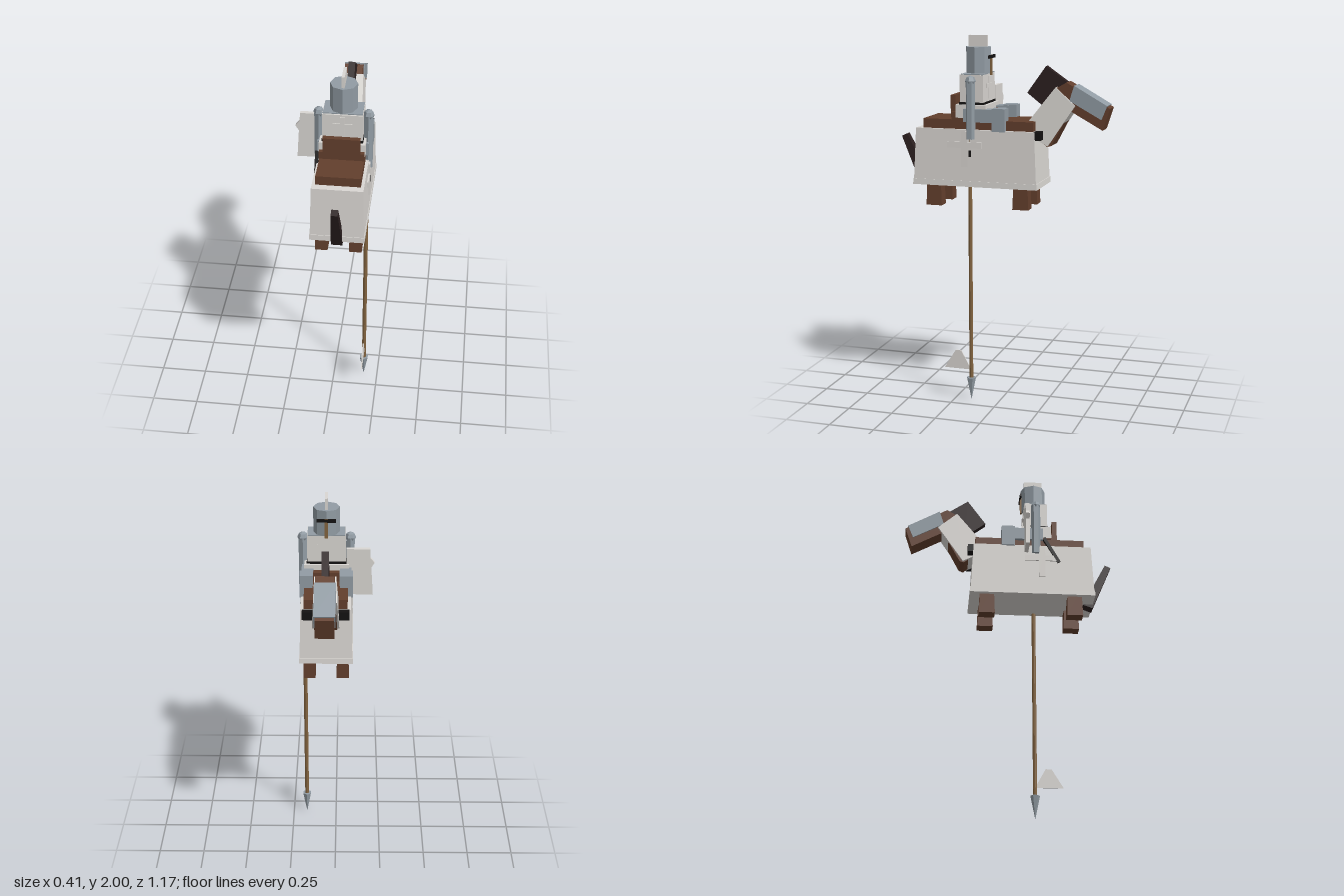
import * as THREE from 'three';

const CX = 0.05; // rider and horse centre line

export function createModel() {
  const root = new THREE.Group();
  root.name = 'mountedKnight';
  const mat = (name, color) => {
    const m = new THREE.MeshStandardMaterial({ color, flatShading: true });
    m.name = name;
    return m;
  };
  const cloth = mat('cloth', 0xdad7d3);
  const steel = mat('steel', 0x929ca4);
  const hide = mat('hide', 0x633f2d);
  const dark = mat('darkHair', 0x2c2020);
  const black = mat('black', 0x141212);
  const wood = mat('wood', 0x82633f);

  const add = (name, geo, m) => {
    const mesh = new THREE.Mesh(geo, m);
    mesh.name = name;
    root.add(mesh);
    return mesh;
  };
  // Box given by its limits on each axis
  const box = (name, m, x0, x1, y0, y1, z0, z1) => {
    const g = new THREE.BoxGeometry(x1 - x0, y1 - y0, z1 - z0);
    g.translate((x0 + x1) / 2, (y0 + y1) / 2, (z0 + z1) / 2);
    return add(name, g, m);
  };
  // Side outline of [z, y] points, extruded across x around the centre line;
  // half width runs from wLow at the lowest point to wHigh at the highest
  const side = (name, m, pts, wLow, wHigh = wLow, cx = CX) => {
    const shape = new THREE.Shape(pts.map(([z, y]) => new THREE.Vector2(-z, y)));
    const g = new THREE.ExtrudeGeometry(shape, { depth: 2, bevelEnabled: false });
    g.translate(0, 0, -1);
    g.rotateY(Math.PI / 2);
    const ys = pts.map((p) => p[1]);
    const lo = Math.min(...ys), hi = Math.max(...ys);
    const p = g.attributes.position;
    for (let i = 0; i < p.count; i++) {
      const t = (p.getY(i) - lo) / (hi - lo);
      p.setX(i, cx + p.getX(i) * (wLow + (wHigh - wLow) * t));
    }
    g.computeVertexNormals();
    return add(name, g, m);
  };

  // Horse body, cloth cover and hem
  box('horseBody', hide, -0.063, 0.165, 1.3, 1.56, -0.19, 0.42);
  side('clothCover', cloth, [[0.458, 1.51], [0.472, 1.205], [-0.215, 1.205], [-0.2, 1.51]], 0.139, 0.131);
  side('clothHem', cloth, [[0.474, 1.235], [0.475, 1.204], [-0.219, 1.204], [-0.217, 1.235]], 0.142, 0.141);

  // Legs, slightly flared at the hoof
  for (const x of [-0.038, 0.139])
    for (const z of [0.363, -0.123])
      side('horseLeg', hide, [[z + 0.038, 1.25], [z + 0.044, 1.09], [z - 0.044, 1.09], [z - 0.038, 1.25]], 0.033, 0.029, x);

  // Tail
  side('tail', dark, [[0.585, 1.445], [0.553, 1.46], [0.42, 1.2], [0.473, 1.18]], 0.03, 0.017);

  // Neck, cover, head, face plate and mane
  side('neck', hide, [[-0.30, 1.74], [-0.13, 1.53], [-0.25, 1.425], [-0.275, 1.432], [-0.39, 1.65]], 0.06, 0.048);
  side('neckCover', cloth, [[-0.294, 1.741], [-0.12, 1.52], [-0.14, 1.49], [-0.257, 1.43], [-0.40, 1.646]], 0.071, 0.055);
  side('head', hide, [[-0.30, 1.737], [-0.35, 1.767], [-0.584, 1.637], [-0.547, 1.522], [-0.36, 1.625]], 0.048);
  side('facePlate', steel, [[-0.393, 1.752], [-0.57, 1.652], [-0.54, 1.578], [-0.368, 1.672]], 0.054);
  side('mane', dark, [[-0.232, 1.847], [-0.13, 1.704], [-0.245, 1.615], [-0.368, 1.752]], 0.018);
  box('breastStrap', black, -0.073, 0.173, 1.465, 1.51, -0.232, -0.195);

  // Saddle
  box('saddleSeat', hide, -0.065, 0.165, 1.56, 1.6, 0.06, 0.262);
  box('saddleBack', hide, -0.045, 0.145, 1.57, 1.688, 0.245, 0.272);
  box('saddlePommel', hide, -0.023, 0.122, 1.56, 1.61, 0.037, 0.07);

  // Tunic, belt and collar plate
  box('tunicSkirt', cloth, -0.068, 0.168, 1.57, 1.64, 0.07, 0.238);
  box('belt', black, -0.055, 0.155, 1.638, 1.652, 0.086, 0.222);
  box('tunic', cloth, -0.052, 0.152, 1.65, 1.797, 0.088, 0.218);
  box('collarPlate', steel, -0.05, 0.15, 1.79, 1.802, 0.09, 0.21);

  // Helmet with crest, eye slit and nose strip
  const helmet = new THREE.CylinderGeometry(0.07, 0.07, 0.14, 8);
  helmet.translate(CX, 1.87, 0.145);
  add('helmet', helmet, steel);
  box('helmetCrest', cloth, 0.043, 0.058, 1.92, 2, 0.095, 0.198);
  box('eyeSlit', black, 0.0, 0.1, 1.88, 1.897, 0.068, 0.077);
  box('noseStrip', wood, 0.041, 0.059, 1.79, 1.897, 0.071, 0.08);

  // Arms, shoulders, thighs and shins, mirrored about the centre line
  for (const s of [-1, 1]) {
    const arm = new THREE.CylinderGeometry(0.026, 0.026, 0.31, 6);
    arm.translate(CX + s * 0.126, 1.615, 0.15);
    add('arm', arm, steel);
    const shoulder = new THREE.SphereGeometry(0.029, 6, 4);
    shoulder.translate(CX + s * 0.126, 1.768, 0.15);
    add('shoulder', shoulder, steel);
    const span = (a, b) => (s > 0 ? [CX + a, CX + b] : [CX - b, CX - a]);
    box('thigh', steel, ...span(0.07, 0.132), 1.55, 1.62, -0.02, 0.19);
    box('shin', steel, ...span(0.072, 0.14), 1.505, 1.627, -0.043, 0.03);
    // Crosses on the cloth cover
    const fx = span(0.128, 0.1405);
    box('coverCrossBar', cloth, ...fx, 1.412, 1.444, 0.087, 0.278);
    box('coverCrossPost', cloth, ...fx, 1.31, 1.5, 0.165, 0.2);
  }

  // Crosses on the front and back of the tunic
  for (const z of [0.086, 0.22]) {
    box('tunicCrossPost', cloth, 0.038, 0.062, 1.665, 1.785, z - 0.003, z + 0.003);
    box('tunicCrossBar', cloth, 0, 0.1, 1.725, 1.748, z - 0.003, z + 0.003);
  }

  // Shield
  const shieldShape = new THREE.Shape([
    [-0.18, 1.725], [-0.055, 1.725], [-0.055, 1.465], [-0.197, 1.462],
    [-0.187, 1.62], [-0.204, 1.648], [-0.182, 1.675],
  ].map(([x, y]) => new THREE.Vector2(x, y)));
  const shield = new THREE.ExtrudeGeometry(shieldShape, { depth: 0.021, bevelEnabled: false });
  shield.translate(0, 0, 0.084);
  add('shield', shield, cloth);

  // Scabbard at the hip
  side('scabbard', black, [[0.2, 1.565], [0.19, 1.545], [0.27, 1.4], [0.285, 1.41]], 0.009, 0.009, -0.082);

  // Lance with grip, head and pennant
  const LX = 0.172, LZ = 0.156;
  const shaft = new THREE.CylinderGeometry(0.011, 0.011, 1.36, 8);
  shaft.translate(LX, 0.79, LZ);
  add('lanceShaft', shaft, wood);
  box('lanceGrip', black, LX - 0.01, 0.193, 1.367, 1.4, 0.146, 0.158);
  const tip = new THREE.ConeGeometry(0.026, 0.13, 6);
  tip.rotateX(Math.PI);
  tip.translate(LX, 0.065, LZ);
  add('lanceHead', tip, steel);
  side('pennant', cloth, [[0.214, 0.28], [0.246, 0.28], [0.31, 0.175], [0.156, 0.175]], 0.003, 0.003, LX);

  return root;
}
